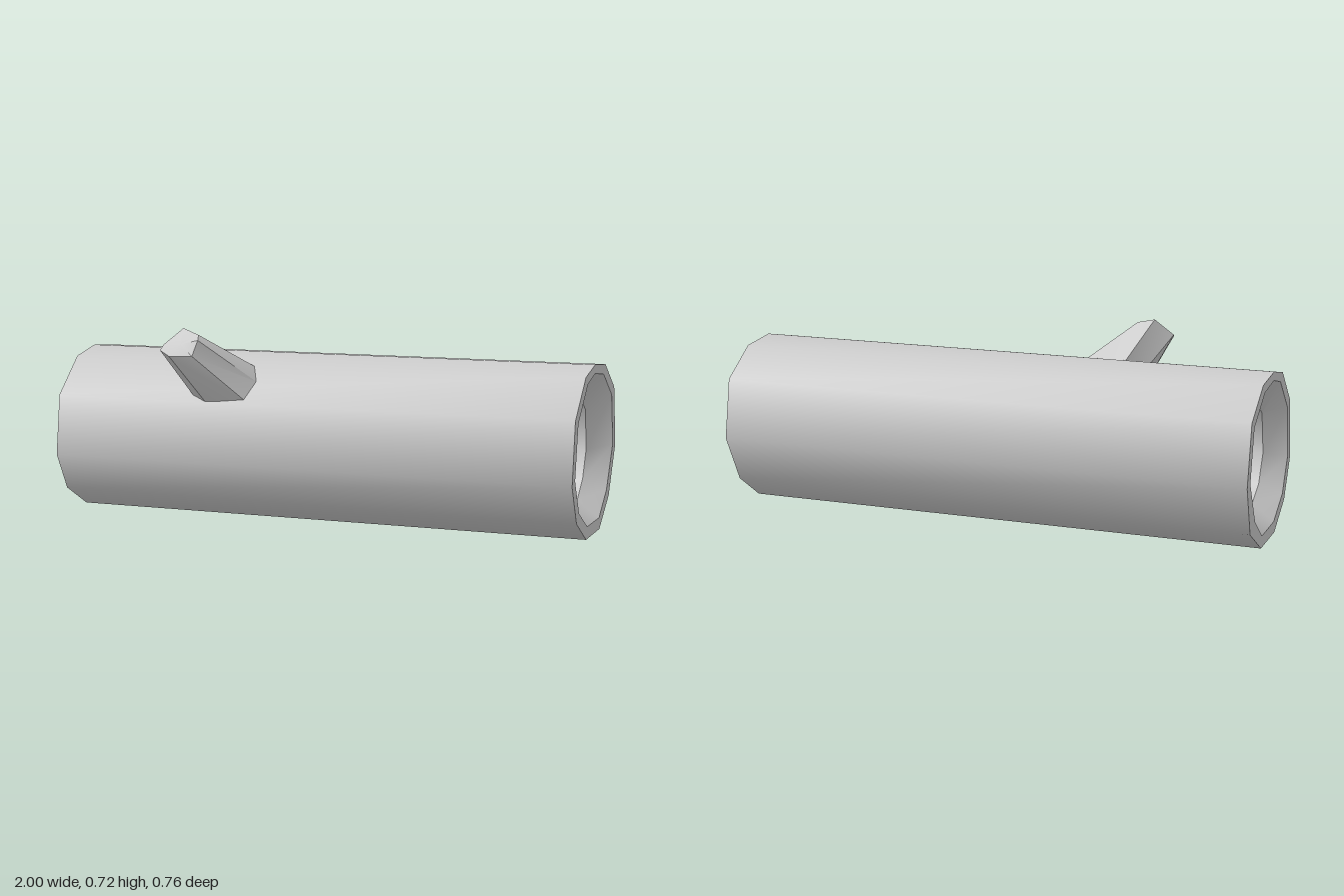
import * as THREE from 'three';
import { toCreasedNormals } from 'three/addons/utils/BufferGeometryUtils.js';

const material = new THREE.MeshStandardMaterial({ color: 0xcccccc });

// Cross-sections of the log as [z, y], clockwise as seen from +x
const OUTER_RIGHT = [[-0.02, 0.615], [-0.185, 0.6], [-0.34, 0.5], [-0.38, 0.28], [-0.315, 0.1], [-0.14, 0],
  [0.07, 0], [0.22, 0.085], [0.295, 0.225], [0.265, 0.45], [0.12, 0.585]];
const OUTER_LEFT = OUTER_RIGHT.map((p, i) => (i === 4 ? [-0.285, 0.1] : p));
const LIP = [[-0.02, 0.583], [-0.155, 0.568], [-0.3, 0.475], [-0.335, 0.285], [-0.245, 0.127], [-0.13, 0.043],
  [0.055, 0.045], [0.185, 0.115], [0.253, 0.24], [0.22, 0.435], [0.087, 0.557]];
const BORE = [[-0.04, 0.502], [-0.1, 0.505], [-0.225, 0.425], [-0.247, 0.272], [-0.2, 0.17], [-0.122, 0.105],
  [0.045, 0.105], [0.143, 0.157], [0.197, 0.26], [0.16, 0.42], [0.025, 0.495]];

// Place a cross-section at a position along the log
const ring = (section, x) => section.map(([z, y]) => [x, y, z]);

// Skin a list of rings, optionally closing the last one
function loft(name, rings, crease, cap = false) {
  const pos = [];
  const tri = (...pts) => pts.forEach((p) => pos.push(...p));
  for (let r = 0; r < rings.length - 1; r++) {
    const a = rings[r], b = rings[r + 1];
    a.forEach((p, i) => {
      const j = (i + 1) % a.length;
      tri(p, b[i], b[j]);
      tri(p, b[j], a[j]);
    });
  }
  if (cap) {
    const end = rings[rings.length - 1];
    const centre = [0, 1, 2].map((k) => end.reduce((s, p) => s + p[k], 0) / end.length);
    end.forEach((p, i) => tri(centre, end[(i + 1) % end.length], p));
  }
  const geometry = new THREE.BufferGeometry();
  geometry.setAttribute('position', new THREE.Float32BufferAttribute(pos, 3));
  const mesh = new THREE.Mesh(toCreasedNormals(geometry, crease), material);
  mesh.name = name;
  return mesh;
}

export function createModel() {
  const group = new THREE.Group();
  group.name = 'hollowLog';
  const smooth = 0.9, depth = 0.92;

  // Bark, then around the left rim, through the hollow and out at the right rim
  group.add(loft('bark', [ring(OUTER_RIGHT, -1), ring(OUTER_LEFT, 1)], smooth));
  group.add(loft('leftRim', [ring(OUTER_LEFT, 1), ring(LIP, 1)], smooth));
  group.add(loft('leftBevel', [ring(LIP, 1), ring(BORE, depth)], 0.6));
  group.add(loft('hollow', [ring(BORE, depth), ring(BORE, -depth)], smooth));
  group.add(loft('rightBevel', [ring(BORE, -depth), ring(LIP, -1)], 0.6));
  group.add(loft('rightRim', [ring(LIP, -1), ring(OUTER_RIGHT, -1)], smooth));

  // Cut branch stub, leaning forward, up and to the right
  const base = [[-0.24, 0.465, 0.255], [-0.39, 0.45, 0.262], [-0.45, 0.47, 0.24], [-0.46, 0.53, 0.175],
    [-0.41, 0.583, 0.115], [-0.25, 0.575, 0.13], [-0.22, 0.525, 0.185]];
  const tip = [[-0.4, 0.628, 0.355], [-0.48, 0.628, 0.38], [-0.53, 0.645, 0.35], [-0.545, 0.66, 0.29],
    [-0.48, 0.72, 0.255], [-0.405, 0.7, 0.285], [-0.385, 0.685, 0.335]];
  group.add(loft('branchStub', [base, tip], 0.5, true));

  return group;
}
